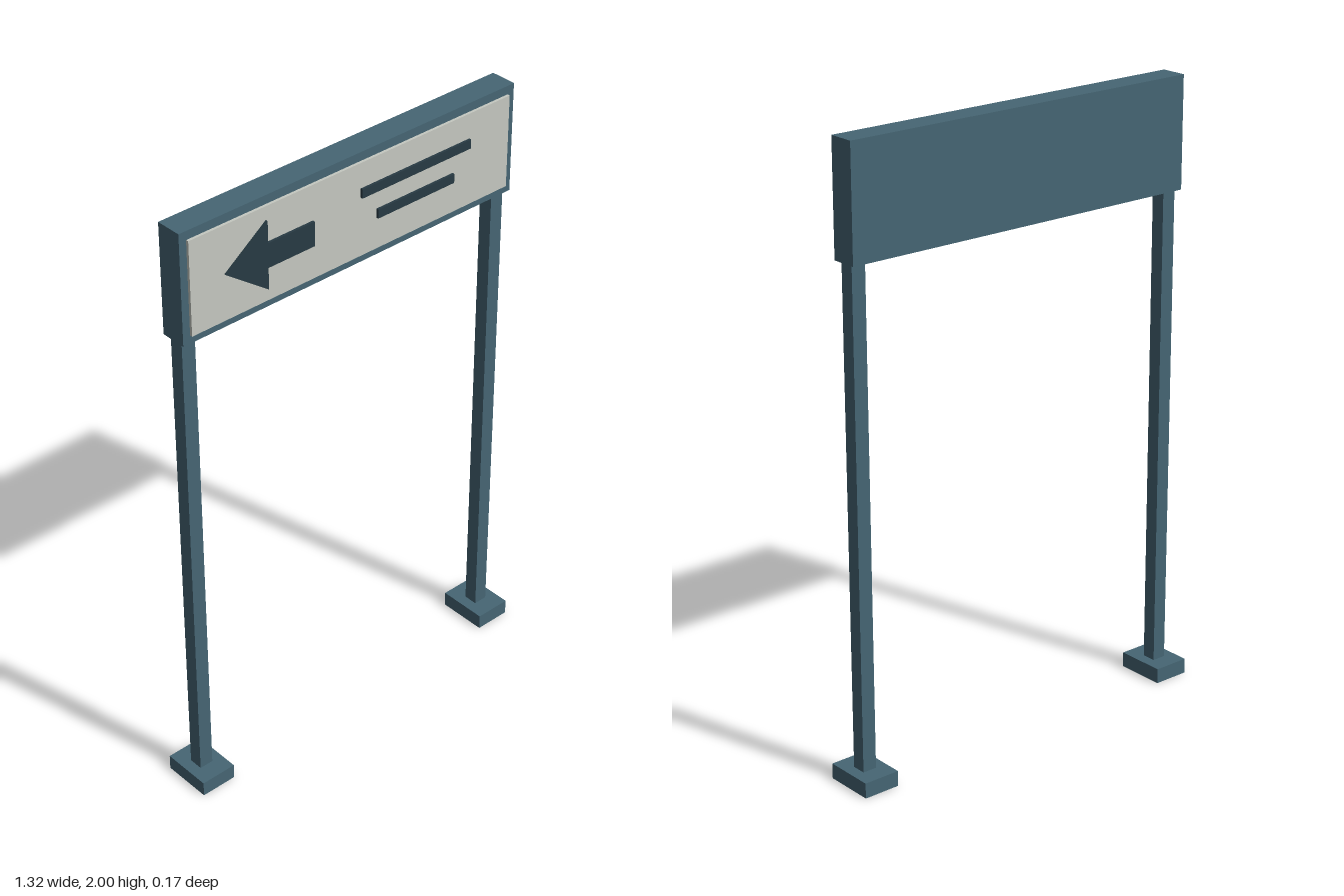
import * as THREE from 'three';

const frameMat = new THREE.MeshStandardMaterial({ color: 0x466674 });
const panelMat = new THREE.MeshStandardMaterial({ color: 0xc6c9c1 });
const markMat = new THREE.MeshStandardMaterial({ color: 0x283b44 });

// Box given by its lower and upper corners
function box(name, mat, [x0, y0, z0], [x1, y1, z1]) {
  const mesh = new THREE.Mesh(new THREE.BoxGeometry(x1 - x0, y1 - y0, z1 - z0), mat);
  mesh.position.set((x0 + x1) / 2, (y0 + y1) / 2, (z0 + z1) / 2);
  mesh.name = name;
  return mesh;
}

export function createModel() {
  const model = new THREE.Group();
  model.name = 'directionSign';

  // Posts on square feet
  for (const [side, s] of [['left', 1], ['right', -1]]) {
    const x = s * 0.597;
    model.add(
      box(side + 'Foot', frameMat, [x - 0.061, 0, -0.083], [x + 0.061, 0.05, 0.083]),
      box(side + 'Post', frameMat, [x - 0.0235, 0.05, -0.0235], [x + 0.0235, 1.64, 0.0235]),
    );
  }

  // Sign board with a pale front panel
  model.add(
    box('signBoard', frameMat, [-0.63, 1.64, -0.043], [0.63, 2, 0.043]),
    box('frontPanel', panelMat, [-0.605, 1.667, 0.043], [0.605, 1.972, 0.052]),
  );

  // Raised arrow pointing to the model's right
  const arrow = new THREE.Shape([
    [-0.485, 0], [-0.334, -0.111], [-0.334, -0.04], [-0.163, -0.04],
    [-0.163, 0.04], [-0.334, 0.04], [-0.334, 0.111],
  ].map(([x, y]) => new THREE.Vector2(x, y)));
  const arrowMesh = new THREE.Mesh(
    new THREE.ExtrudeGeometry(arrow, { depth: 0.008, bevelEnabled: false }), markMat);
  arrowMesh.position.set(0, 1.818, 0.052);
  arrowMesh.name = 'arrow';
  model.add(arrowMesh);

  // Raised bars beside the arrow
  model.add(
    box('upperBar', markMat, [0.017, 1.86, 0.052], [0.443, 1.89, 0.06]),
    box('lowerBar', markMat, [0.078, 1.77, 0.052], [0.379, 1.8, 0.06]),
  );
  return model;
}
